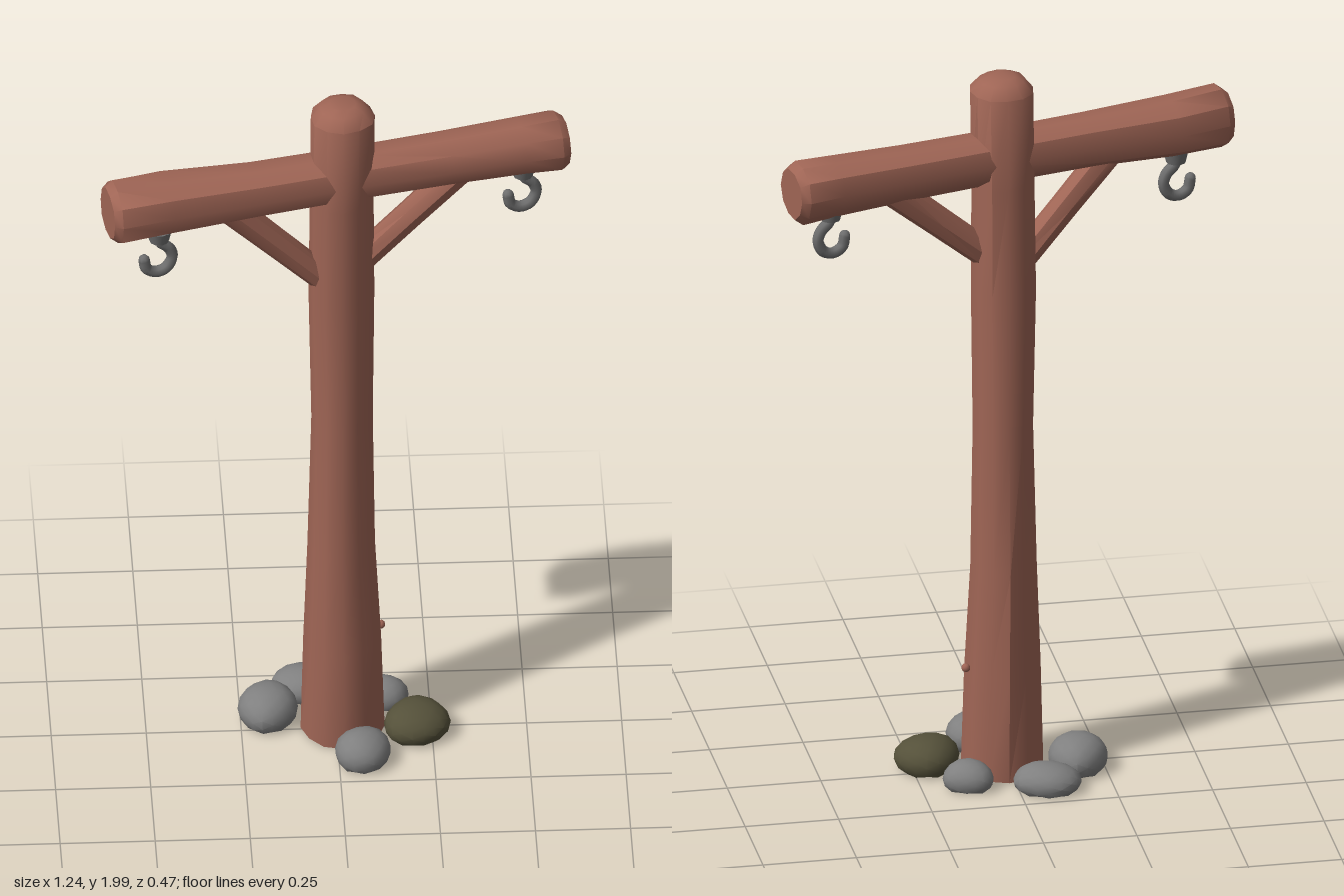
import * as THREE from 'three';
import { toCreasedNormals, mergeVertices } from 'three/addons/utils/BufferGeometryUtils.js';

const mat = (name, color) => Object.assign(new THREE.MeshStandardMaterial({ color }), { name });

// Log built from cross-sections along y: [y, centreX, centreZ, radiusX, radiusZ]
function log(rings, sides, bump = 0.03) {
  const pos = [], idx = [];
  for (const [y, cx, cz, rx, rz] of rings) {
    for (let i = 0; i < sides; i++) {
      const a = (i / sides) * Math.PI * 2;
      const k = 1 + bump * Math.sin(i * 2.3 + y * 1.5);
      pos.push(cx + Math.sin(a) * rx * k, y, cz + Math.cos(a) * rz * k);
    }
  }
  for (let r = 0; r < rings.length - 1; r++) {
    for (let i = 0; i < sides; i++) {
      const j = (i + 1) % sides, a = r * sides, b = a + sides;
      idx.push(a + i, a + j, b + j, a + i, b + j, b + i);
    }
  }
  // End caps
  const top = (rings.length - 1) * sides;
  for (let i = 1; i < sides - 1; i++) {
    idx.push(0, i + 1, i, top, top + i, top + i + 1);
  }
  const g = new THREE.BufferGeometry();
  g.setAttribute('position', new THREE.Float32BufferAttribute(pos, 3));
  g.setIndex(idx);
  return toCreasedNormals(g, 0.7);
}

// Lumpy boulder with a flattened underside
function stone(rx, h, rz, seed) {
  let g = new THREE.IcosahedronGeometry(1, 2);
  g.deleteAttribute('uv');
  g.deleteAttribute('normal');
  g = mergeVertices(g);
  const p = g.attributes.position;
  for (let i = 0; i < p.count; i++) {
    const x = p.getX(i), y = p.getY(i), z = p.getZ(i);
    const k = 1 + 0.05 * Math.sin(3 * x + seed) * Math.cos(2.5 * z + seed * 2);
    p.setXYZ(i, x * rx * k, Math.max(0.008, h * (0.42 + 0.58 * y * k)), z * rz * k);
  }
  return toCreasedNormals(g, 0.6);
}

export function createModel() {
  const root = new THREE.Group();
  const wood = mat('wood', 0x9f6555);
  const grey = mat('grey stone', 0x808080);
  const olive = mat('mossy stone', 0x55513a);
  const iron = mat('iron', 0x6e6e6e);
  const add = (parent, name, geo, material, x = 0, y = 0, z = 0) => {
    const m = new THREE.Mesh(geo, material);
    m.name = name;
    m.position.set(x, y, z);
    parent.add(m);
    return m;
  };

  // Upright post, flared at the foot and bevelled at the top
  add(root, 'post', log([
    [0.01, 0.017, -0.004, 0.108, 0.106],
    [0.3, 0.015, -0.003, 0.1, 0.102],
    [0.6, 0.012, -0.006, 0.087, 0.094],
    [1.0, 0.014, -0.01, 0.08, 0.085],
    [1.4, 0.012, -0.007, 0.087, 0.086],
    [1.7, 0.013, -0.003, 0.085, 0.085],
    [1.96, 0.016, 0, 0.086, 0.085],
    [1.99, 0.016, 0, 0.06, 0.06],
    [2.0, 0.016, 0, 0.035, 0.035],
  ], 12), wood);

  // Small knot on the post
  add(root, 'knot', new THREE.IcosahedronGeometry(0.012, 1), wood, 0.118, 0.315, -0.03);

  // Cross arm, turned a little about the post
  const arm = new THREE.Group();
  arm.name = 'crossArm';
  arm.rotation.y = 0.234;
  arm.position.z = 0.003;
  root.add(arm);
  const beam = add(arm, 'beam', log([
    [-0.625, 0, 0, 0.07, 0.07],
    [-0.605, 0, 0, 0.087, 0.085],
    [-0.46, 0, -0.008, 0.083, 0.088],
    [-0.22, 0, 0, 0.074, 0.075],
    [0.05, 0, 0, 0.072, 0.072],
    [0.3, 0, 0, 0.074, 0.074],
    [0.5, 0, 0, 0.08, 0.078],
    [0.6, 0.002, 0, 0.085, 0.081],
    [0.622, 0.002, 0, 0.068, 0.068],
  ], 10), wood, 0, 1.772, 0);
  beam.rotation.z = -Math.PI / 2;

  // Diagonal braces under the arm
  const up = new THREE.Vector3(0, 1, 0);
  for (const [name, x0, y0, x1, y1] of [
    ['rightBrace', -0.02, 1.44, -0.31, 1.745],
    ['leftBrace', 0.04, 1.475, 0.36, 1.75],
  ]) {
    const a = new THREE.Vector3(x0, y0, 0), d = new THREE.Vector3(x1 - x0, y1 - y0, 0);
    const len = d.length();
    const brace = add(arm, name, log([
      [0, 0, 0, 0.038, 0.038], [len / 2, 0, 0, 0.04, 0.036], [len, 0, 0, 0.043, 0.038],
    ], 8), wood);
    brace.position.copy(a);
    brace.quaternion.setFromUnitVectors(up, d.normalize());
  }

  // Iron hooks hanging below the arm
  const path = new THREE.CatmullRomCurve3([
    [0, 0], [0.004, -0.03], [0.027, -0.052], [0.036, -0.08], [0.02, -0.112],
    [-0.008, -0.121], [-0.034, -0.107], [-0.041, -0.078],
  ].map(([x, y]) => new THREE.Vector3(x, y, 0)));
  for (const [name, x, y] of [['rightHook', -0.485, 1.682], ['leftHook', 0.51, 1.7]]) {
    const hook = new THREE.Group();
    hook.name = name;
    hook.position.set(x, y, 0);
    arm.add(hook);
    add(hook, 'mount', new THREE.CylinderGeometry(0.034, 0.026, 0.034, 10), iron, 0, -0.006, 0);
    add(hook, 'curve', new THREE.TubeGeometry(path, 24, 0.0155, 8), iron);
    add(hook, 'tip', new THREE.SphereGeometry(0.0155, 8, 6), iron, -0.041, -0.078, 0);
  }

  // Stones around the foot: x, z, radiusX, height, radiusZ, turn, material
  [
    [0.21, 0.03, 0.087, 0.1, 0.084, 0.2, olive],
    [0.063, 0.155, 0.075, 0.1, 0.077, 0, grey],
    [0.127, -0.115, 0.07, 0.085, 0.058, -0.3, grey],
    [-0.075, -0.168, 0.09, 0.085, 0.07, -0.15, grey],
    [-0.178, -0.05, 0.076, 0.11, 0.087, -0.2, grey],
  ].forEach(([x, z, rx, h, rz, turn, m], i) => {
    add(root, 'stone' + (i + 1), stone(rx, h, rz, i * 1.7 + 1), m, x, 0, z).rotation.y = turn;
  });

  return root;
}
